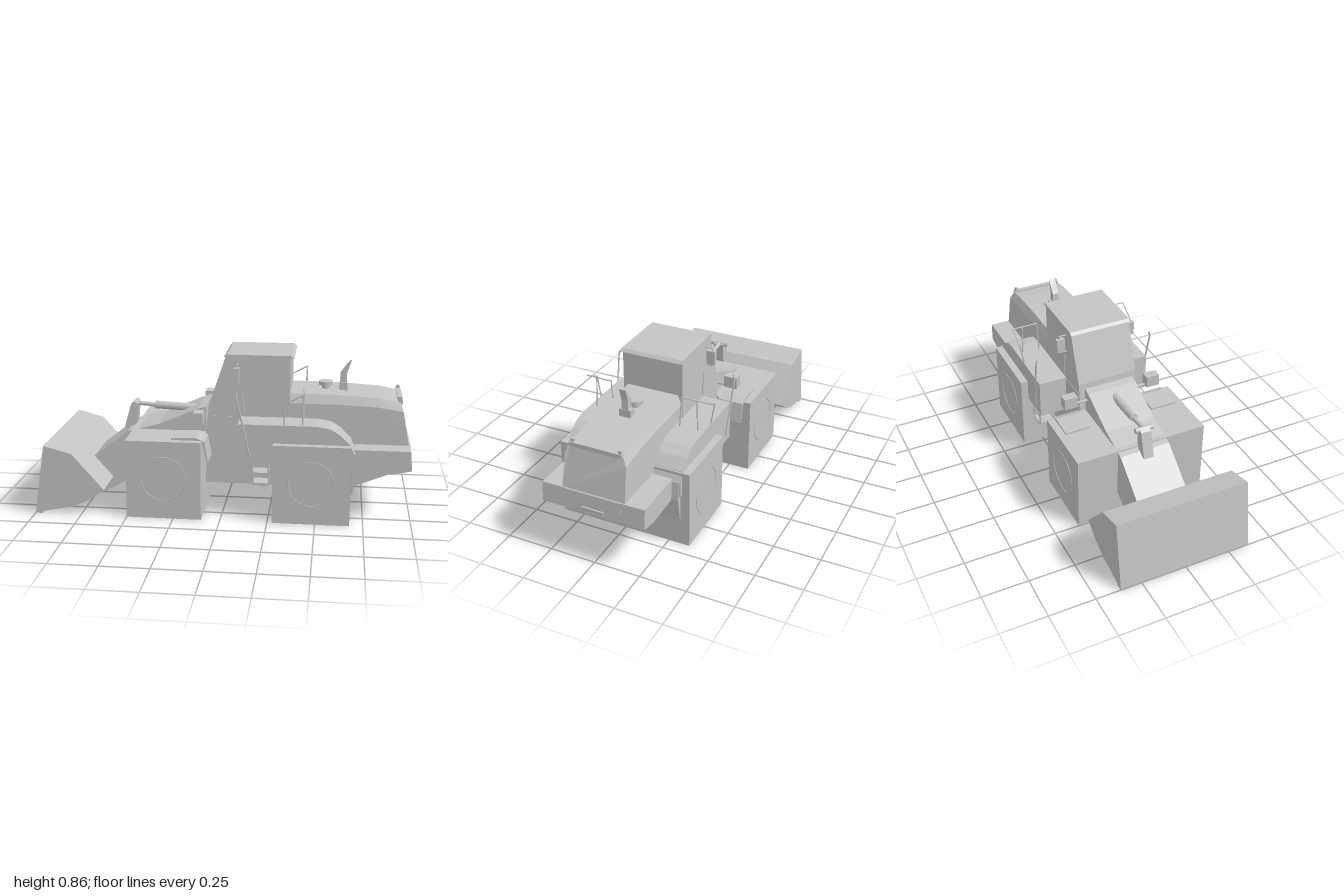
import * as THREE from 'three';

const paint = new THREE.MeshStandardMaterial({ color: 0xc4c4c4 });
paint.name = 'plain grey';

export function createModel() {
  const root = new THREE.Group();
  root.name = 'earthMover';

  const add = (geo, name, x = 0, y = 0, z = 0) => {
    const m = new THREE.Mesh(geo, paint);
    m.name = name;
    m.position.set(x, y, z);
    root.add(m);
    return m;
  };
  // Box given by its limits
  const box = (name, x0, x1, y0, y1, z0, z1) => add(
    new THREE.BoxGeometry(x1 - x0, y1 - y0, z1 - z0), name,
    (x0 + x1) / 2, (y0 + y1) / 2, (z0 + z1) / 2);
  // Side profile extruded from z0 to z1
  const prism = (name, pts, z0, z1) => {
    const shape = new THREE.Shape(pts.map(p => new THREE.Vector2(p[0], p[1])));
    add(new THREE.ExtrudeGeometry(shape, { depth: z1 - z0, bevelEnabled: false }), name, 0, 0, z0);
  };
  // Round bar between two points
  const bar = (name, a, b, r, sides = 6) => {
    const p = new THREE.Vector3(...a), q = new THREE.Vector3(...b);
    const m = add(new THREE.CylinderGeometry(r, r, p.distanceTo(q), sides), name);
    m.position.copy(p).add(q).multiplyScalar(0.5);
    m.quaternion.setFromUnitVectors(new THREE.Vector3(0, 1, 0), q.sub(p).normalize());
  };
  // Chain of bars
  const rail = (name, pts, r = 0.004) => {
    for (let i = 1; i < pts.length; i++) bar(name, pts[i - 1], pts[i], r);
  };

  // Bucket
  prism('bucket', [[-1, 0.004], [-0.79, 0.045], [-0.705, 0.085], [-0.62, 0.145], [-0.79, 0.34], [-0.94, 0.38]], -0.365, 0.365);
  box('cuttingEdge', -1, -0.96, 0, 0.012, -0.365, 0.365);

  // Axle blocks with hub outlines
  for (const [name, x0, x1] of [['frontWheels', -0.5, -0.1], ['rearWheels', 0.275, 0.68]]) {
    box(name, x0, x1, 0, 0.425, -0.365, 0.365);
    for (const s of [-1, 1])
      add(new THREE.TorusGeometry(0.12, 0.003, 4, 32), name + 'HubRing', (x0 + x1) / 2, 0.22, s * 0.365);
  }

  // Lift arms and front frame
  prism('liftArms', [[-0.68, 0.05], [-0.5, 0.15], [-0.1, 0.3], [-0.1, 0.56], [-0.14, 0.55], [-0.36, 0.455],
    [-0.53, 0.41], [-0.73, 0.255], [-0.73, 0.13]], -0.14, 0.14);

  // Tilt linkage
  prism('tiltLever', [[-0.575, 0.39], [-0.52, 0.40], [-0.5, 0.44], [-0.49, 0.535], [-0.515, 0.55], [-0.535, 0.53]], -0.028, 0.028);
  bar('tiltRod', [-0.51, 0.535, 0], [-0.33, 0.52, 0], 0.012, 12);
  bar('tiltCylinder', [-0.4, 0.527, 0], [-0.15, 0.515, 0], 0.022, 12);
  bar('tiltPin', [-0.51, 0.535, -0.05], [-0.51, 0.535, 0.05], 0.014, 10);
  prism('tiltBracket', [[-0.2, 0.48], [-0.1, 0.5], [-0.1, 0.56], [-0.15, 0.545]], -0.05, 0.05);

  // Main frame
  prism('mainFrame', [[-0.1, 0.145], [0.68, 0.145], [0.88, 0.225], [0.96, 0.28], [0.96, 0.4], [0.35, 0.52], [-0.08, 0.52]], -0.17, 0.17);

  // Cab
  prism('cab', [[-0.1, 0.4], [0.35, 0.4], [0.35, 0.845], [0.01, 0.845], [-0.08, 0.58]], -0.168, 0.168);
  prism('cabRoof', [[0, 0.842], [0.37, 0.84], [0.355, 0.855], [0.015, 0.855]], -0.172, 0.172);

  // Engine hood: cross-sections with a narrowed top, from cab to tail
  const hoodStations = [[0.34, 0.34, 0.34, 0.60, 0.65], [0.6, 0.6, 0.6, 0.6, 0.648],
    [0.82, 0.82, 0.82, 0.59, 0.635], [0.98, 0.945, 0.93, 0.57, 0.615]];
  const pos = [], idx = [];
  for (const [xLow, xMid, xTop, shoulder, top] of hoodStations) {
    pos.push(xLow, 0.385, 0.172, xMid, shoulder, 0.165, xTop, top, 0.143,
      xTop, top, -0.143, xMid, shoulder, -0.165, xLow, 0.385, -0.172);
  }
  for (let i = 0; i < 3; i++) for (let j = 0; j < 6; j++) {
    const a = i * 6 + j, b = i * 6 + (j + 1) % 6;
    idx.push(a, a + 6, b, b, a + 6, b + 6);
  }
  for (let j = 1; j < 5; j++) idx.push(0, j, j + 1, 18, 18 + j + 1, 18 + j);
  const hoodRings = new THREE.BufferGeometry();
  hoodRings.setAttribute('position', new THREE.Float32BufferAttribute(pos, 3));
  hoodRings.setIndex(idx);
  const hood = hoodRings.toNonIndexed();
  hood.computeVertexNormals();
  add(hood, 'engineHood');
  box('hoodRearLip', 0.915, 0.94, 0.605, 0.628, -0.14, 0.14);

  // Counterweight, its rear panels and the hitch guard
  prism('counterweight', [[0.695, 0.275], [0.9, 0.265], [0.995, 0.285], [0.985, 0.39], [0.695, 0.39]], -0.28, 0.28);
  prism('rearPanel', [[0.985, 0.325], [0.994, 0.325], [0.988, 0.389], [0.98, 0.389]], -0.152, 0.152);
  box('numberPlate', 0.992, 1, 0.297, 0.316, -0.06, 0.06);
  box('hitchGuard', 0.84, 0.9, 0.22, 0.24, -0.155, 0.155);

  // Exhaust and air intake
  prism('exhaust', [[0.605, 0.64], [0.65, 0.64], [0.645, 0.735], [0.668, 0.805], [0.648, 0.785], [0.612, 0.735]], -0.018, 0.018);
  box('exhaustBase', 0.61, 0.65, 0.64, 0.685, -0.032, 0.032);
  bar('intakeStem', [0.535, 0.64, 0], [0.535, 0.67, 0], 0.022, 14);
  bar('intakeCap', [0.535, 0.668, 0], [0.535, 0.688, 0], 0.038, 18);

  // Parts on both sides
  for (const s of [-1, 1]) {
    const zz = (a, b) => s > 0 ? [a, b] : [-b, -a];
    // Platform and rear fender
    prism('rearFender', [[0.09, 0.31], [0.275, 0.31], [0.275, 0.4], [0.66, 0.4], [0.68, 0.3], [0.7, 0.3], [0.695, 0.38],
      [0.67, 0.43], [0.62, 0.48], [0.57, 0.51], [0.5, 0.522], [0.09, 0.522]], ...zz(0.165, 0.325));
    prism('mudFlap', [[0.683, 0.16], [0.69, 0.15], [0.71, 0.28], [0.7, 0.38], [0.683, 0.38]], ...zz(0.18, 0.318));
    // Steps
    rail('stepFrame', [[0.165, 0.31, s * 0.3], [0.17, 0.19, s * 0.3], [0.255, 0.19, s * 0.3], [0.25, 0.31, s * 0.3]], 0.006);
    for (const y of [0.188, 0.245]) box('stepTread', 0.167, 0.253, y, y + 0.01, ...zz(0.22, 0.305));
    // Handrails
    rail('entryRail', [[0.155, 0.35, s * 0.33], [0.085, 0.66, s * 0.342], [0.085, 0.685, s * 0.335]], 0.005);
    rail('platformRail', [[0.33, 0.52, s * 0.32], [0.33, 0.64, s * 0.34], [0.425, 0.69, s * 0.342],
      [0.425, 0.69, s * 0.2], [0.425, 0.52, s * 0.19]]);
    bar('platformRail', [0.425, 0.52, s * 0.29], [0.425, 0.69, s * 0.285], 0.004);
    bar('doorRail', [0.09, 0.67, s * 0.172], [0.11, 0.54, s * 0.172], 0.004);
    // Mirror
    box('mirror', 0.06, 0.085, 0.715, 0.792, ...zz(0.182, 0.227));
    rail('mirrorArm', [[0.075, 0.807, s * 0.165], [0.075, 0.807, s * 0.21], [0.075, 0.705, s * 0.21], [0.075, 0.705, s * 0.165]]);
    // Headlight
    box('headlight', -0.15, -0.1, 0.495, 0.56, ...zz(0.205, 0.28));
    bar('headlightArm', [-0.12, 0.5, s * 0.13], [-0.12, 0.5, s * 0.22], 0.008);
    // Front fender
    prism('frontFender', [[-0.26, 0.425], [-0.1, 0.425], [-0.075, 0.31], [-0.065, 0.31], [-0.085, 0.42],
      [-0.13, 0.44], [-0.26, 0.435]], ...zz(0.18, 0.325));
    // Rear light
    box('rearLight', 0.915, 0.935, 0.625, 0.645, ...zz(0.12, 0.135));
  }
  return root;
}
